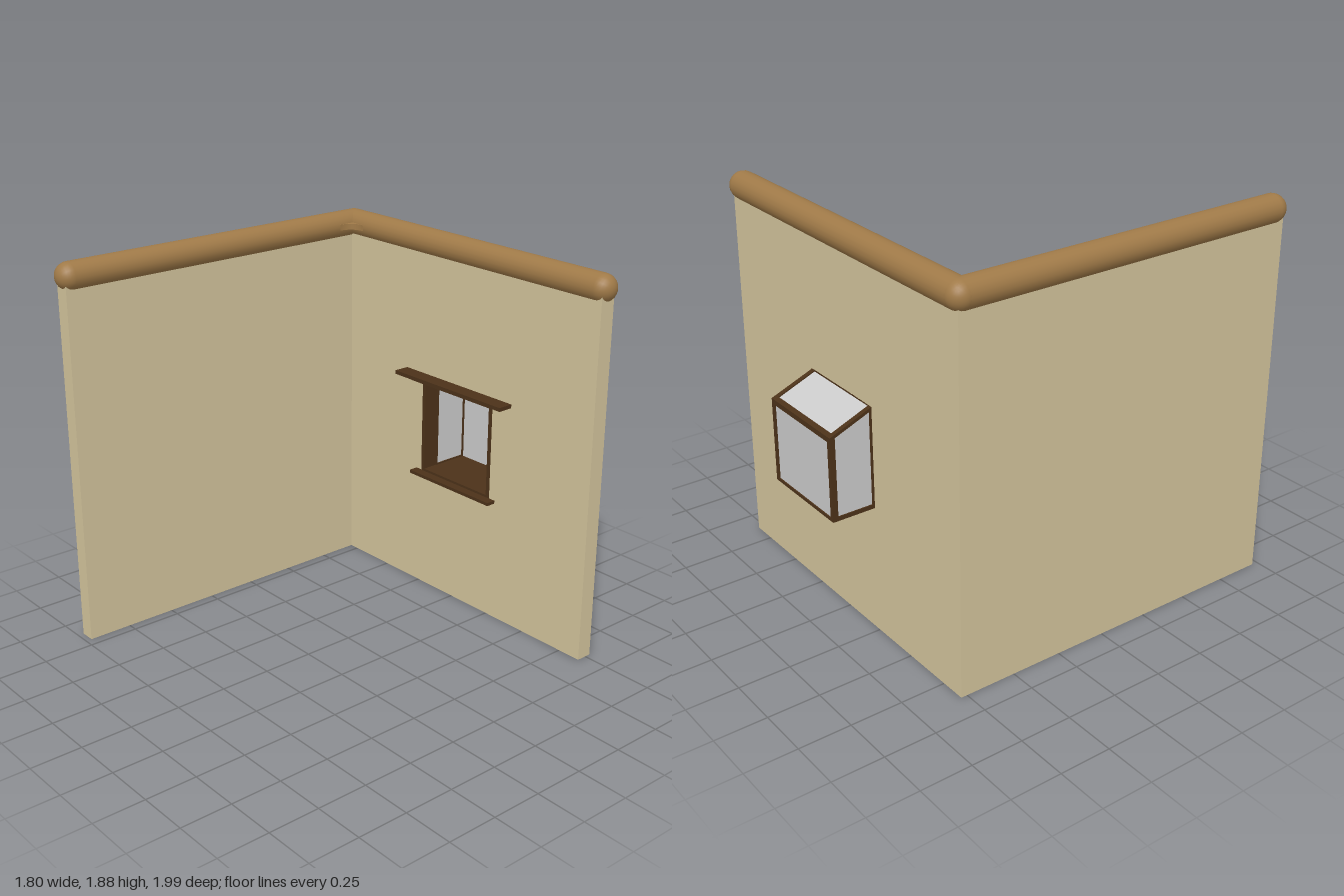
import * as THREE from 'three';

const mat = (color) => new THREE.MeshStandardMaterial({ color });
const plaster = mat(0xd3c49c), log = mat(0xa07a48), wood = mat(0x4c3219), glass = mat(0xcccccc);

function add(parent, name, geometry, material) {
  const mesh = new THREE.Mesh(geometry, material);
  mesh.name = name;
  parent.add(mesh);
  return mesh;
}

// Box given by its limits on each axis
function block(parent, name, [x0, x1], [y0, y1], [z0, z1], material) {
  const mesh = add(parent, name, new THREE.BoxGeometry(x1 - x0, y1 - y0, z1 - z0), material);
  mesh.position.set((x0 + x1) / 2, (y0 + y1) / 2, (z0 + z1) / 2);
  return mesh;
}

const outline = (pts) => new THREE.Shape(pts.map(([a, b]) => new THREE.Vector2(a, b)));

// Side profile of (distance behind z = 0, height) swept from x0 to x1
function sweep(parent, name, pts, x0, x1, material, hole) {
  const shape = outline(pts);
  if (hole) shape.holes.push(outline(hole));
  const geo = new THREE.ExtrudeGeometry(shape, { depth: x1 - x0, bevelEnabled: false });
  geo.rotateY(Math.PI / 2).translate(x0, 0, 0);
  return add(parent, name, geo, material);
}

export function createModel() {
  const model = new THREE.Group();
  model.name = 'cornerWalls';

  // Back wall with window opening, and side wall
  const wall = outline([[-0.875, 0], [0.872, 0], [0.872, 1.81], [-0.875, 1.81]]);
  wall.holes.push(outline([[-0.24, 0.63], [-0.24, 1.12], [0.24, 1.12], [0.24, 0.63]]));
  const wallGeo = new THREE.ExtrudeGeometry(wall, { depth: 0.08, bevelEnabled: false });
  add(model, 'backWall', wallGeo.translate(0, 0, -0.78), plaster);
  block(model, 'sideWall', [-0.875, -0.8], [0, 1.81], [-0.7, 0.97], plaster);

  // Round coping along both wall tops
  const coping = new THREE.Group();
  coping.name = 'coping';
  model.add(coping);
  const R = 0.067, Y = 1.814, CX = -0.838, CZ = -0.746;
  const backLog = add(coping, 'backCoping', new THREE.CapsuleGeometry(R, 0.832 - CX, 8, 20), log);
  backLog.rotation.z = Math.PI / 2;
  backLog.position.set((0.832 + CX) / 2, Y, CZ);
  const sideLog = add(coping, 'sideCoping', new THREE.CapsuleGeometry(R, 0.928 - CZ, 8, 20), log);
  sideLog.rotation.x = Math.PI / 2;
  sideLog.position.set(CX, Y, (0.928 + CZ) / 2);

  // Small fillet where the two copings meet
  const fillet = new THREE.Shape();
  fillet.moveTo(CX, -CZ);
  fillet.lineTo(-0.69, -CZ);
  fillet.lineTo(-0.69, 0.679);
  fillet.quadraticCurveTo(-0.77, 0.679, -0.771, 0.6);
  fillet.lineTo(CX, 0.6);
  const filletGeo = new THREE.ExtrudeGeometry(fillet, { depth: 0.03, bevelEnabled: false });
  filletGeo.rotateX(-Math.PI / 2);
  add(coping, 'copingFillet', filletGeo, log).position.y = Y - 0.015;

  // Projecting window
  const bay = new THREE.Group();
  bay.name = 'bayWindow';
  model.add(bay);
  const profile = [[0.78, 0.63], [0.99, 0.63], [0.99, 1.035], [0.78, 1.12]];
  const pane = [[0.79, 0.65], [0.79, 1.1], [0.965, 1.029], [0.965, 0.65]];
  for (const s of [-1, 1]) {
    const span = (a, b) => (s > 0 ? [a, b] : [-b, -a]);
    block(bay, 'jamb', span(0.222, 0.243), [0.63, 1.12], [-0.785, -0.697], wood);
    sweep(bay, 'sideFrame', profile, ...span(0.22, 0.243), wood, pane);
    sweep(bay, 'sideGlass', pane, ...span(0.226, 0.237), glass);
  }
  block(bay, 'bayFloor', [-0.235, 0.235], [0.628, 0.643], [-0.99, -0.697], wood);
  block(bay, 'openingHead', [-0.235, 0.235], [1.112, 1.122], [-0.78, -0.697], wood);
  sweep(bay, 'roofRail', [[0.968, 1.01], [0.99, 1.01], [0.99, 1.035], [0.968, 1.044]], -0.225, 0.225, wood);
  block(bay, 'rearGlass', [-0.225, 0.225], [0.64, 1.02], [-0.984, -0.974], glass);
  sweep(bay, 'roofGlass', [[0.775, 1.107], [0.972, 1.027], [0.972, 1.036], [0.775, 1.116]], -0.225, 0.225, glass);

  // Inner trim boards
  block(bay, 'sill', [-0.28, 0.28], [0.615, 0.631], [-0.705, -0.652], wood);
  block(bay, 'lintel', [-0.28, 0.28], [1.119, 1.137], [-0.705, -0.652], wood);
  block(bay, 'shelf', [-0.365, 0.365], [1.136, 1.155], [-0.705, -0.621], wood);

  return model;
}
